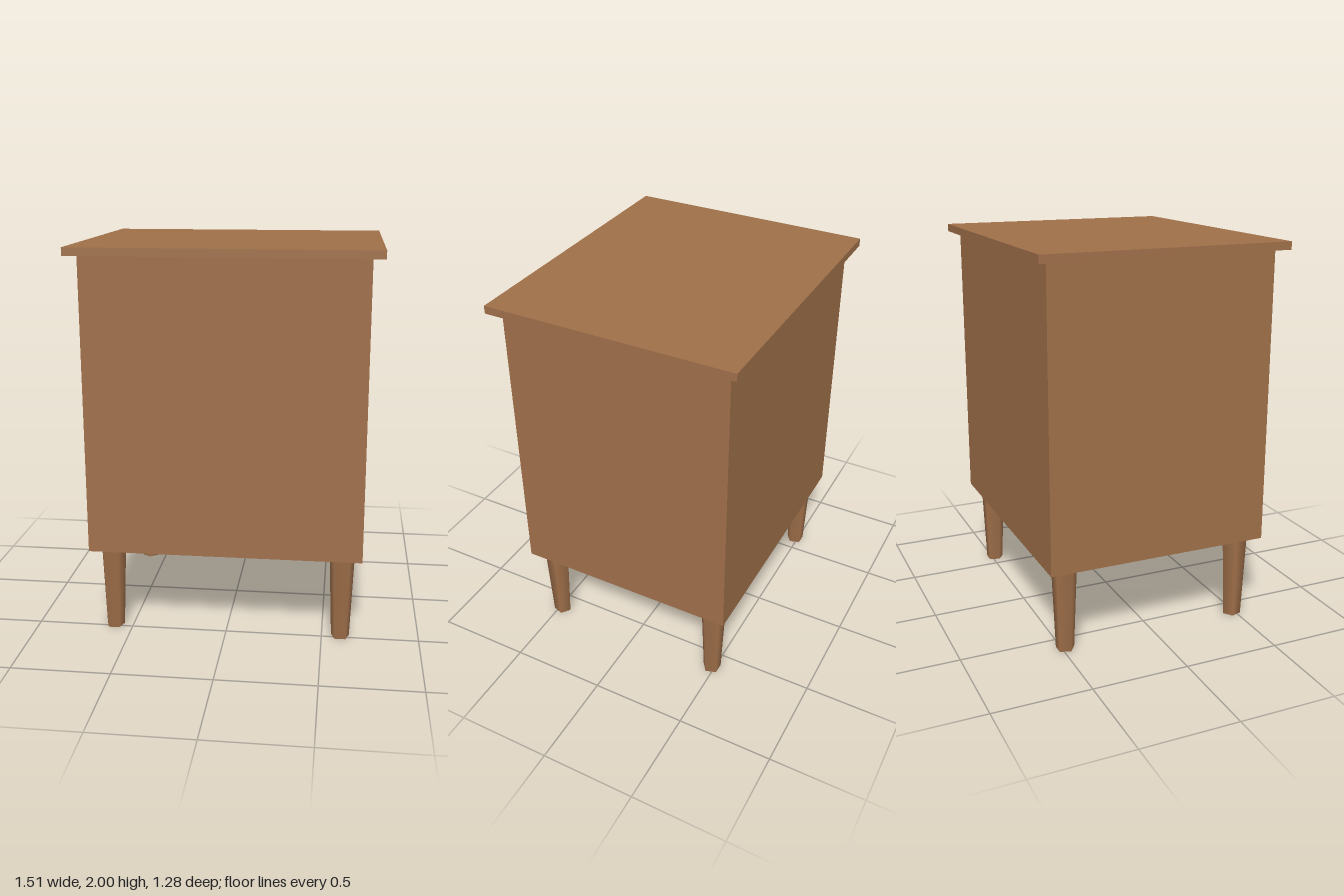
import * as THREE from 'three';

export function createModel() {
  const group = new THREE.Group();
  const wood = new THREE.MeshStandardMaterial({ color: 0xa0704a });
  wood.name = 'brown wood';

  const add = (name, geometry, x, y, z) => {
    const mesh = new THREE.Mesh(geometry, wood);
    mesh.name = name;
    mesh.position.set(x, y, z);
    group.add(mesh);
    return mesh;
  };

  // Heights of the underside of the cabinet and of the top board
  const base = 0.455, boardBase = 1.96;

  // Cabinet and overhanging top board
  add('cabinet', new THREE.BoxGeometry(1.394, boardBase - base, 1.174), 0, (base + boardBase) / 2, 0);
  add('topBoard', new THREE.BoxGeometry(1.51, 2 - boardBase, 1.28), 0, (2 + boardBase) / 2, 0);

  // Tapered five-sided legs, the front pair turned to mirror the back pair
  const legGeometry = new THREE.CylinderGeometry(0.068, 0.049, base, 5);
  for (const [end, z] of [['front', 0.482], ['back', -0.482]]) {
    for (const [side, x] of [['Left', 0.596], ['Right', -0.596]]) {
      const leg = add(`${end}${side}Leg`, legGeometry, x, base / 2, z);
      if (z > 0) leg.rotation.y = Math.PI;
    }
  }

  return group;
}
